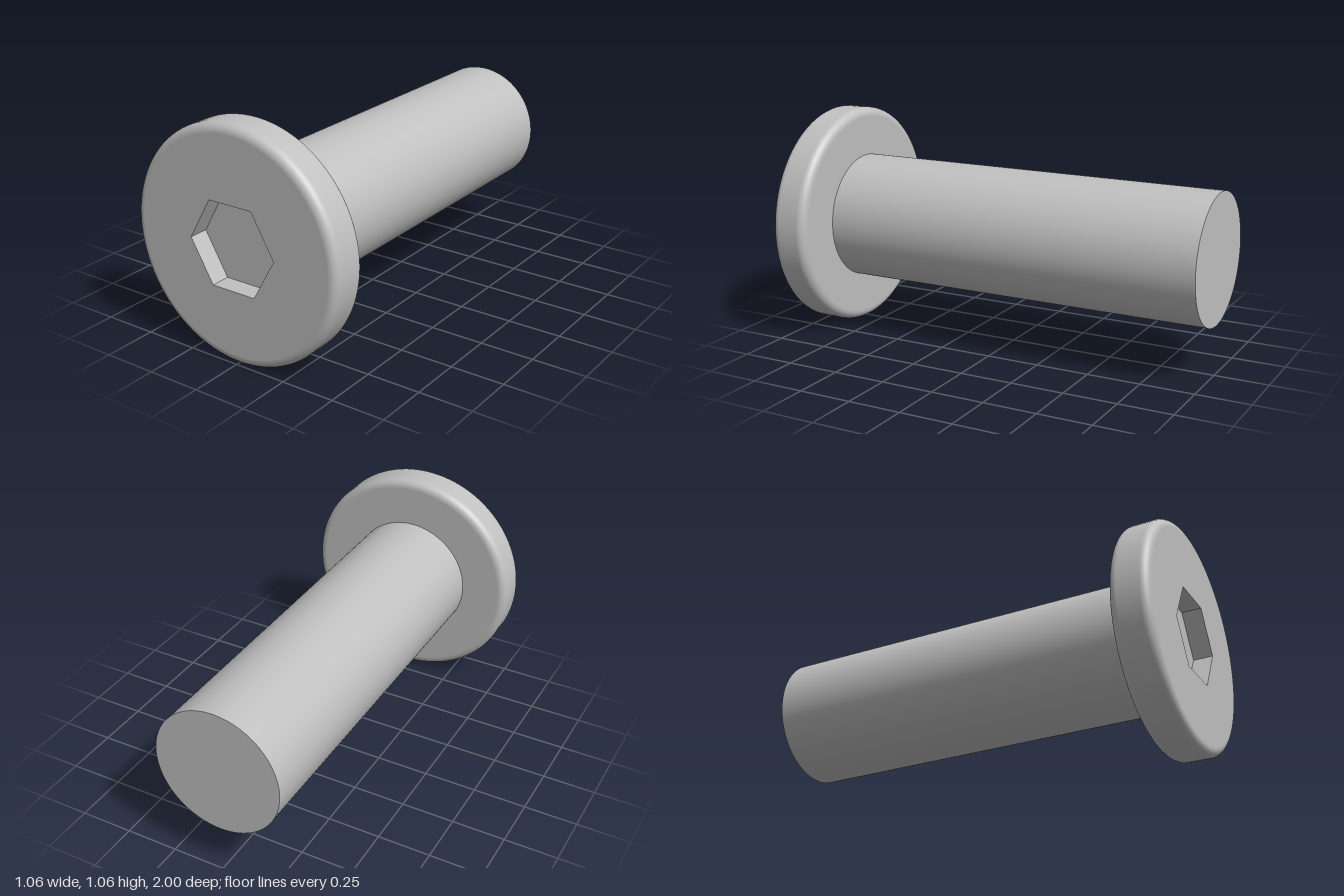
import * as THREE from 'three';

const HEAD_R = 0.53, SHAFT_R = 0.3, FILLET = 0.04;
const HEAD_BACK = 0.82, FRONT = 1, BACK = -1;
const HEX_R = 0.22, HEX_DEPTH = 0.09, SEGMENTS = 96;

export function createModel() {
  const steel = new THREE.MeshStandardMaterial({ color: 0xc0c0c0 });
  steel.name = 'steel grey';

  const bolt = new THREE.Group();
  bolt.name = 'socketBolt';
  const add = (name, geometry, parent = bolt) => {
    const mesh = new THREE.Mesh(geometry, steel);
    mesh.name = name;
    parent.add(mesh);
    return mesh;
  };

  // Head rim with rounded edges, turned around the bolt axis
  const flatR = HEAD_R - FILLET;
  const profile = [new THREE.Vector2(SHAFT_R - 0.02, HEAD_BACK), new THREE.Vector2(flatR - 0.002, HEAD_BACK)];
  const arc = (z, start) => {
    for (let i = 0; i <= 8; i++) {
      const a = start + (i / 8) * Math.PI / 2;
      profile.push(new THREE.Vector2(flatR + FILLET * Math.cos(a), z + FILLET * Math.sin(a)));
    }
  };
  arc(HEAD_BACK + FILLET, -Math.PI / 2);
  arc(FRONT - FILLET, 0);
  add('headRim', new THREE.LatheGeometry(profile, SEGMENTS).rotateX(Math.PI / 2));

  // Flat front face with the hexagonal opening
  const hexPoints = Array.from({ length: 6 }, (_, i) => {
    const a = i * Math.PI / 3;
    return new THREE.Vector2(HEX_R * Math.cos(a), HEX_R * Math.sin(a));
  });
  const face = new THREE.Shape();
  face.absarc(0, 0, flatR, 0, Math.PI * 2, false);
  face.holes.push(new THREE.Path(hexPoints));
  add('headFace', new THREE.ShapeGeometry(face, SEGMENTS / 2).translate(0, 0, FRONT));

  // Hexagonal socket: six inward walls and a floor
  const socket = new THREE.Group();
  socket.name = 'hexSocket';
  bolt.add(socket);
  const apothem = HEX_R * Math.cos(Math.PI / 6);
  for (let i = 0; i < 6; i++) {
    const wall = new THREE.PlaneGeometry(HEX_R, HEX_DEPTH)
      .rotateX(Math.PI / 2)
      .translate(0, apothem, FRONT - HEX_DEPTH / 2)
      .rotateZ(i * Math.PI / 3);
    add('socketWall', wall, socket);
  }
  add('socketFloor', new THREE.CircleGeometry(HEX_R, 6).translate(0, 0, FRONT - HEX_DEPTH), socket);

  // Plain shaft and its flat end
  const length = HEAD_BACK - BACK;
  add('shaft', new THREE.CylinderGeometry(SHAFT_R, SHAFT_R, length, SEGMENTS, 1, true)
    .rotateX(Math.PI / 2)
    .translate(0, 0, BACK + length / 2));
  add('shaftEnd', new THREE.CircleGeometry(SHAFT_R, SEGMENTS).rotateY(Math.PI).translate(0, 0, BACK));

  // Rest the head on the ground
  bolt.position.y = HEAD_R;
  const model = new THREE.Group();
  model.name = 'bolt';
  model.add(bolt);
  return model;
}
